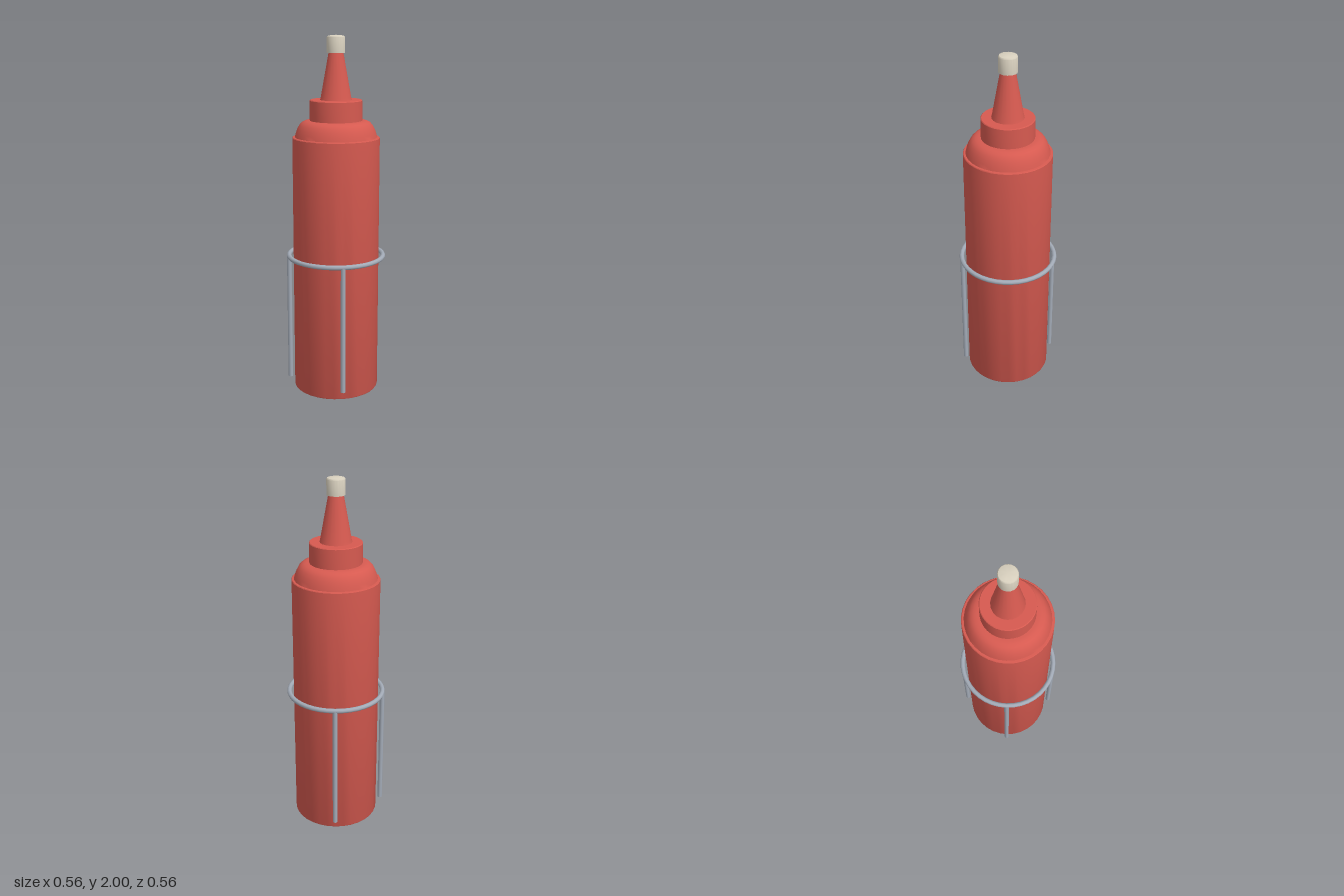
import * as THREE from 'three';
import { toCreasedNormals } from 'three/addons/utils/BufferGeometryUtils.js';

const material = (name, color) => {
  const m = new THREE.MeshStandardMaterial({ color });
  m.name = name;
  return m;
};

export function createModel() {
  const red = material('red plastic', 0xd65a50);
  const cream = material('cream tip', 0xd8d0be);
  const steel = material('steel wire', 0xa4acb8);
  const group = new THREE.Group();
  group.name = 'squeezeBottle';

  const add = (name, geometry, mat, x = 0, y = 0, z = 0) => {
    const mesh = new THREE.Mesh(geometry, mat);
    mesh.name = name;
    mesh.position.set(x, y, z);
    group.add(mesh);
    return mesh;
  };
  // Profiles run from bottom to top as [radius, height]
  const lathe = (profile, sides = 32) => toCreasedNormals(
    new THREE.LatheGeometry(profile.map(([r, y]) => new THREE.Vector2(r, y)), sides), 0.6);

  // Body with recessed base and rounded shoulder
  add('body', lathe([
    [0, 0.055], [0.225, 0.055], [0.232, 0], [0.238, 0], [0.241, 0.006],
    [0.241, 1.448], [0.238, 1.452], [0.227, 1.453],
    [0.221, 1.475], [0.212, 1.498], [0.201, 1.518], [0.188, 1.532],
    [0.172, 1.54], [0.155, 1.543], [0.13, 1.543],
  ]), red);

  // Screw collar
  add('collar', lathe([
    [0.13, 1.54], [0.144, 1.54], [0.144, 1.651], [0.14, 1.655], [0, 1.655],
  ]), red);

  // Tapered nozzle
  add('nozzle', lathe([[0.088, 1.654], [0.084, 1.668], [0.039, 1.915]], 20), red);

  // Tip cap with a slightly domed top
  add('tipCap', lathe([
    [0, 1.906], [0.05, 1.906], [0.05, 1.988], [0.046, 1.994], [0.03, 1.998], [0, 2],
  ], 20), cream);

  // Wire holder: a hoop and three hanging rods
  const hoopRadius = 0.266, wire = 0.0135, hoopY = 0.78;
  add('holderRing', new THREE.TorusGeometry(hoopRadius, wire, 8, 40), steel, 0, hoopY, 0)
    .rotation.x = Math.PI / 2;
  const rodBottom = 0.055;
  for (const [name, x, z] of [['frontRod', 0, 1], ['backRod', 0, -1], ['rightRod', -1, 0]]) {
    add(name, new THREE.CylinderGeometry(wire, wire, hoopY - rodBottom, 8), steel,
      x * hoopRadius, (hoopY + rodBottom) / 2, z * hoopRadius);
  }
  return group;
}
